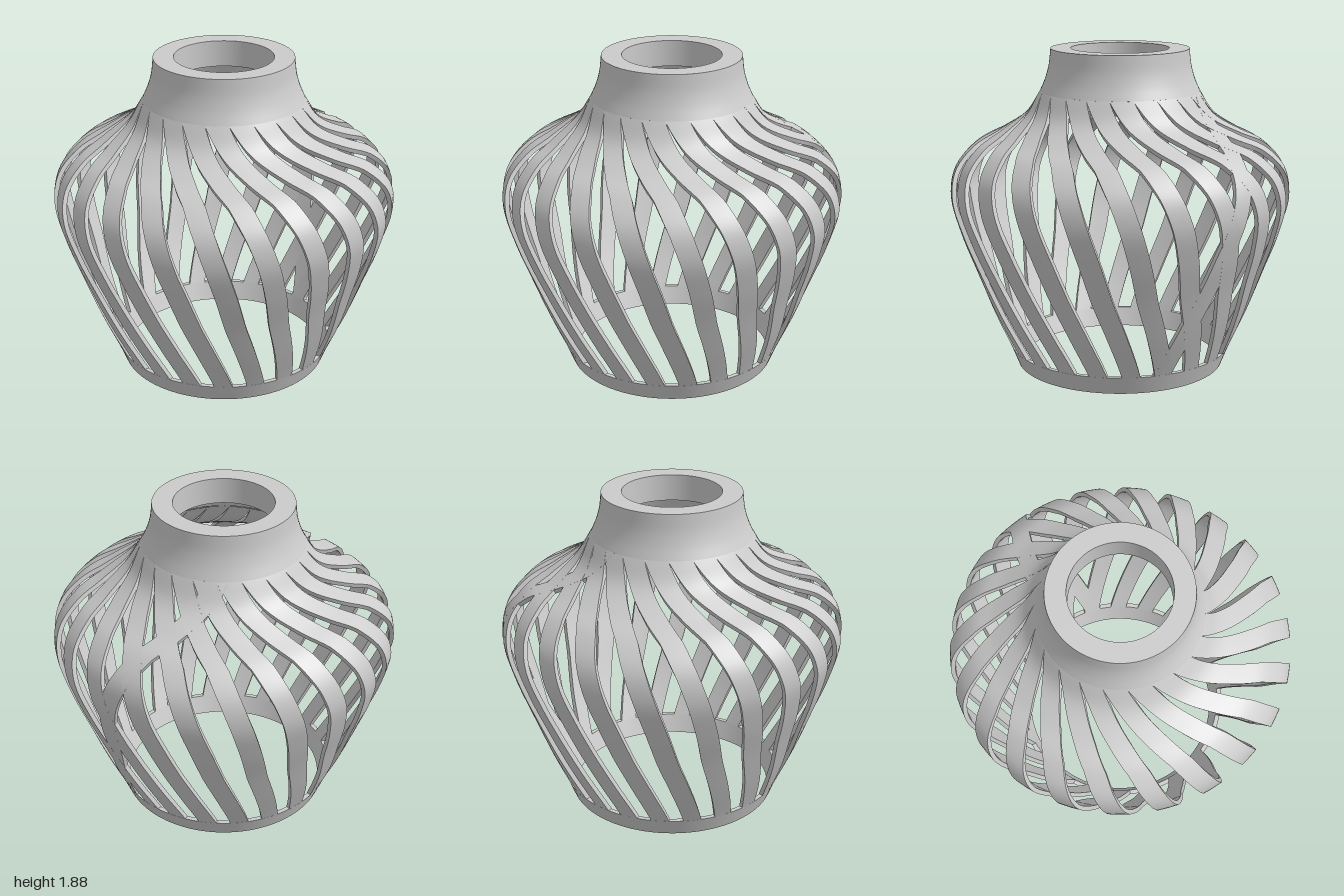
import * as THREE from 'three';
import { mergeGeometries } from 'three/addons/utils/BufferGeometryUtils.js';

const COUNT = 22;      // slats around the body
const THICK = 0.026;   // slat thickness
const STEPS = 48;      // divisions along a slat

// Body stations: height, radius, twist angle, angular slat width
const STATIONS = [
  [0.10, 0.655, 0.02, 0.160],
  [0.35, 0.765, -0.09, 0.148],
  [0.60, 0.860, -0.19, 0.138],
  [0.83, 0.945, -0.25, 0.128],
  [1.04, 0.995, -0.31, 0.122],
  [1.20, 0.965, -0.37, 0.127],
  [1.33, 0.850, -0.45, 0.148],
  [1.41, 0.700, -0.58, 0.185],
  [1.51, 0.550, -0.76, 0.235],
  [1.64, 0.465, -0.92, 0.288],
];
const profile = new THREE.CatmullRomCurve3(STATIONS.map(([y, r]) => new THREE.Vector3(r, y, 0)));
const twist = new THREE.CatmullRomCurve3(STATIONS.map(([, , a, w]) => new THREE.Vector3(a, w, 0)));

// Point on the slat: t along it, u from -1 to 1 across it, depth below the outer skin
function slatPoint(t, u, depth, angle, hand) {
  const p = profile.getPoint(t);
  const d = profile.getTangent(t);
  const s = twist.getPoint(t);
  const r = p.x - d.y * depth;
  const y = p.y + d.x * depth;
  const a = angle + hand * s.x + u * s.y / 2;
  return [r * Math.sin(a), y, r * Math.cos(a)];
}

// Smooth sheet swept up the slat between the given [u, depth] columns
function sheet(columns, angle, hand) {
  const pos = [], index = [], n = columns.length;
  for (let i = 0; i <= STEPS; i++) {
    for (const [u, depth] of columns) pos.push(...slatPoint(i / STEPS, u, depth, angle, hand));
  }
  for (let i = 0; i < STEPS; i++) {
    for (let j = 0; j < n - 1; j++) {
      const a = i * n + j, b = a + 1, c = a + n, d = c + 1;
      index.push(a, b, d, a, d, c);
    }
  }
  const g = new THREE.BufferGeometry();
  g.setAttribute('position', new THREE.Float32BufferAttribute(pos, 3));
  g.setIndex(index);
  g.computeVertexNormals();
  return g;
}

// Four-sided slat; hand = -1 leans the opposite way
function slatGeometry(angle, hand = 1) {
  return mergeGeometries([
    sheet([[-1, 0], [0, 0], [1, 0]], angle, hand),
    sheet([[1, 0], [1, THICK]], angle, hand),
    sheet([[1, THICK], [0, THICK], [-1, THICK]], angle, hand),
    sheet([[-1, THICK], [-1, 0]], angle, hand),
  ]);
}

// Turned ring from separate profile runs, so the corners between runs stay sharp
function turned(runs) {
  return mergeGeometries(runs.map(run =>
    new THREE.LatheGeometry(run.map(([r, y]) => new THREE.Vector2(r, y)), 96)));
}

export function createModel() {
  const group = new THREE.Group();
  const material = new THREE.MeshStandardMaterial({ color: 0xcccccc, side: THREE.DoubleSide });
  const add = (name, geometry, parent = group) => {
    const mesh = new THREE.Mesh(geometry, material);
    mesh.name = name;
    parent.add(mesh);
  };

  // Solid ring at the foot
  add('baseRing', turned([
    [[0.617, 0], [0.66, 0.11]],
    [[0.66, 0.11], [0.633, 0.11]],
    [[0.633, 0.11], [0.59, 0]],
    [[0.59, 0], [0.617, 0]],
  ]));

  // Leaning slats
  const slats = new THREE.Group();
  slats.name = 'slats';
  group.add(slats);
  for (let i = 0; i < COUNT; i++) add('slat', slatGeometry(i * 2 * Math.PI / COUNT), slats);

  // Single slat at the back crossing the others
  add('crossingSlat', slatGeometry(2.88, -1));

  // Flared collar with a thick rim and an inner ledge
  const flare = new THREE.SplineCurve([
    [0.465, 1.64], [0.435, 1.71], [0.413, 1.79], [0.402, 1.885],
  ].map(([r, y]) => new THREE.Vector2(r, y))).getPoints(16).map(p => [p.x, p.y]);
  add('collar', turned([
    flare,
    [[0.402, 1.885], [0.285, 1.885]],
    [[0.285, 1.885], [0.285, 1.73]],
    [[0.285, 1.73], [0.402, 1.73]],
    [[0.402, 1.73], [0.415, 1.69], [0.44, 1.63]],
    [[0.44, 1.63], [0.465, 1.64]],
  ]));

  return group;
}
